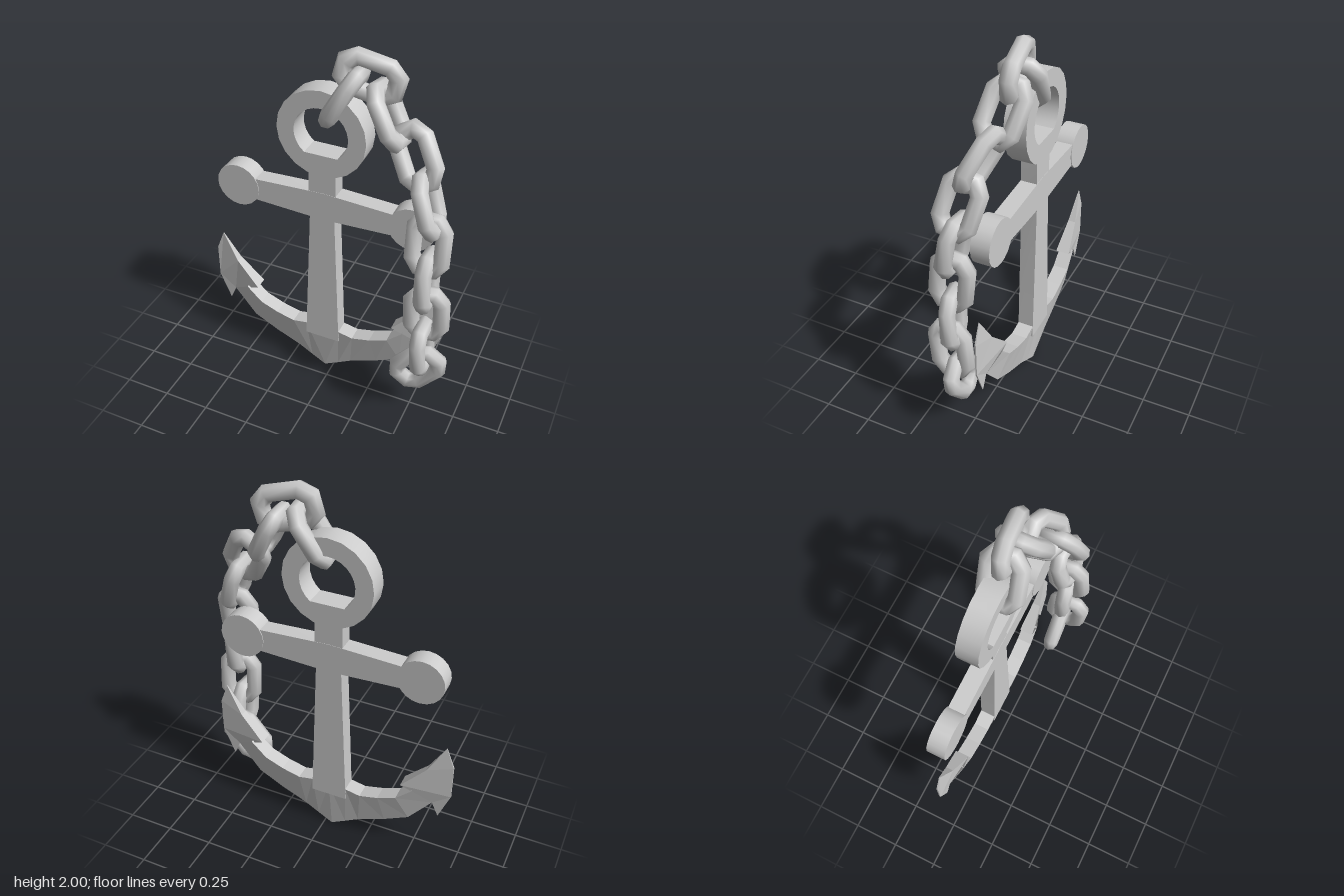
import * as THREE from 'three';
import { mergeVertices, toCreasedNormals } from 'three/addons/utils/BufferGeometryUtils.js';

const CX = -0.043, CZ = -0.078; // anchor centre line
const material = new THREE.MeshStandardMaterial({ color: 0xcccccc });
const flatMaterial = new THREE.MeshStandardMaterial({ color: 0xcccccc, flatShading: true });

function addMesh(parent, name, geometry, mat = material) {
  const mesh = new THREE.Mesh(geometry, mat);
  mesh.name = name;
  parent.add(mesh);
  return mesh;
}

// Flat plate centred on z = 0
function plate(shape, depth, curveSegments = 12) {
  const g = new THREE.ExtrudeGeometry(shape, { depth, bevelEnabled: false, curveSegments });
  return toCreasedNormals(g.translate(0, 0, -depth / 2), 0.6);
}

const polygon = (pts) => new THREE.Shape(pts.map(([x, y]) => new THREE.Vector2(x, y)));

// Solid strip through sections [lowX, lowY, lowHalfDepth, highX, highY, highHalfDepth]
function strip(sections, side) {
  const pos = [], index = [];
  for (const [lx, ly, lt, ux, uy, ut] of sections) {
    pos.push(side * lx, ly, lt, side * ux, uy, ut, side * ux, uy, -ut, side * lx, ly, -lt);
  }
  const quad = (a, b, c, d) => side > 0
    ? index.push(a, b, c, a, c, d)
    : index.push(a, c, b, a, d, c);
  for (let i = 0; i < sections.length - 1; i++) {
    for (let k = 0; k < 4; k++) {
      const a = i * 4 + k, b = i * 4 + (k + 1) % 4;
      quad(a, a + 4, b + 4, b);
    }
  }
  const e = (sections.length - 1) * 4;
  quad(e, e + 3, e + 2, e + 1);
  const g = new THREE.BufferGeometry();
  g.setAttribute('position', new THREE.Float32BufferAttribute(pos, 3));
  g.setIndex(index);
  g.computeVertexNormals();
  return g;
}

// Chain link: a torus bent onto an eight-cornered path with mitred corners
function linkGeometry(r = 0.042) {
  const path = [[0.075, 0.075], [0.037, 0.125], [-0.037, 0.125], [-0.075, 0.075],
    [-0.075, -0.075], [-0.037, -0.125], [0.037, -0.125], [0.075, -0.075]]
    .map(([x, y]) => new THREE.Vector2(x, y));
  const normalAt = (i) => {
    const d = path[(i + 1) % 8].clone().sub(path[i % 8]).normalize();
    return new THREE.Vector2(d.y, -d.x);
  };
  const g = new THREE.TorusGeometry(1, r, 8, 8);
  const p = g.attributes.position;
  for (let j = 0; j <= 8; j++) {
    const v = j / 8 * Math.PI * 2;
    for (let i = 0; i <= 8; i++) {
      const n1 = normalAt(i + 7), n2 = normalAt(i);
      const miter = n1.clone().add(n2).divideScalar(1 + n1.dot(n2));
      const c = path[i % 8].clone().addScaledVector(miter, r * Math.cos(v));
      p.setXYZ(j * 9 + i, c.x, c.y, r * Math.sin(v));
    }
  }
  g.deleteAttribute('uv');
  g.deleteAttribute('normal');
  const merged = mergeVertices(g, 1e-5);
  merged.computeVertexNormals();
  return merged;
}

export function createModel() {
  const model = new THREE.Group();
  model.name = 'anchorWithChain';
  const anchor = new THREE.Group();
  anchor.name = 'anchor';
  anchor.position.set(CX, 0, CZ);
  model.add(anchor);

  // Top ring, its opening cut flat at the bottom
  const ring = new THREE.Shape().absarc(0, 1.55, 0.23, 0, Math.PI * 2, false);
  const a = Math.asin(0.11 / 0.14);
  const opening = new THREE.Path().absarc(0, 1.55, 0.14, -a, Math.PI + a, false);
  opening.closePath();
  ring.holes.push(opening);
  addMesh(anchor, 'ring', plate(ring, 0.113, 10));

  // Tapered shank
  addMesh(anchor, 'shank', plate(polygon([
    [-0.098, 0.25], [0.098, 0.25], [0.067, 1.07], [0.072, 1.2], [0.072, 1.4], [-0.072, 1.4], [-0.072, 1.2], [-0.067, 1.07],
  ]), 0.084));

  // Stock bar with round ends
  addMesh(anchor, 'stock', plate(polygon([
    [-0.42, 1.077], [0, 1.058], [0.42, 1.077], [0.42, 1.196], [0, 1.216], [-0.42, 1.196],
  ]), 0.087));

  // Arms and flukes, thick inside and thin along the outer edge
  const T = 0.042, E = 0.004;
  const armSections = [
    [0, 0, E, 0, 0.32, T],
    [0.08, 0.045, E, 0.097, 0.32, T],
    [0.157, 0.09, E, 0.177, 0.305, T],
    [0.307, 0.155, E, 0.277, 0.33, T],
    [0.44, 0.225, E, 0.377, 0.37, T],
    [0.562, 0.38, E, 0.462, 0.45, 0.04],
    [0.562, 0.38, E, 0.397, 0.465, 0.038],
    [0.657, 0.455, E, 0.524, 0.6, 0.021],
    [0.657, 0.645, E, 0.614, 0.757, 0.002],
  ];
  const barbSections = [
    [0.597, 0.3, 0.002, 0.596, 0.302, 0.002],
    [0.657, 0.455, E, 0.562, 0.38, E],
  ];
  for (const side of [-1, 1]) {
    const label = side > 0 ? 'left' : 'right';
    const end = new THREE.CylinderGeometry(0.118, 0.118, 0.095, 20).rotateX(Math.PI / 2);
    addMesh(anchor, label + 'StockEnd', end).position.set(side * 0.47, 1.138, 0);
    addMesh(anchor, label + 'Arm', strip(armSections, side), flatMaterial);
    addMesh(anchor, label + 'OuterBarb', strip(barbSections, side), flatMaterial);
  }

  // Chain: [centre, long direction, width direction] for each link
  const links = [
    [[0.055, 1.755, -0.065], [0.15, 0.26, -0.03], [0, 0, 1]],
    [[0.17, 1.865, -0.085], [0.32, -0.08, -0.04], [0.1, 1, -0.08]],
    [[0.275, 1.71, -0.065], [0.14, -0.25, 0.05], [0, 0, 1]],
    [[0.425, 1.545, -0.035], [0.14, -0.22, 0.1], [0.86, 0.5, 0]],
    [[0.52, 1.355, 0.025], [0.1, -0.27, 0.06], [0, 0, 1]],
    [[0.54, 1.145, 0.05], [0.01, -0.32, 0.06], [1, 0, 0.1]],
    [[0.555, 0.945, 0.063], [0.01, -0.3, 0.03], [0, 0, 1]],
    [[0.565, 0.735, 0.06], [0.01, -0.32, -0.01], [1, 0, -0.15]],
    [[0.565, 0.525, 0.08], [0.01, -0.3, -0.03], [0, 0, 1]],
    [[0.54, 0.34, 0.045], [-0.18, -0.22, 0], [0.78, -0.62, -0.1]],
  ];
  const chain = new THREE.Group();
  chain.name = 'chain';
  model.add(chain);
  const geometry = linkGeometry();
  links.forEach(([centre, dir, width], i) => {
    const y = new THREE.Vector3(...dir).normalize();
    const z = new THREE.Vector3(...width).cross(y).normalize();
    const x = y.clone().cross(z);
    const link = addMesh(chain, 'chainLink' + (i + 1), geometry);
    link.quaternion.setFromRotationMatrix(new THREE.Matrix4().makeBasis(x, y, z));
    link.position.set(...centre);
  });
  return model;
}
